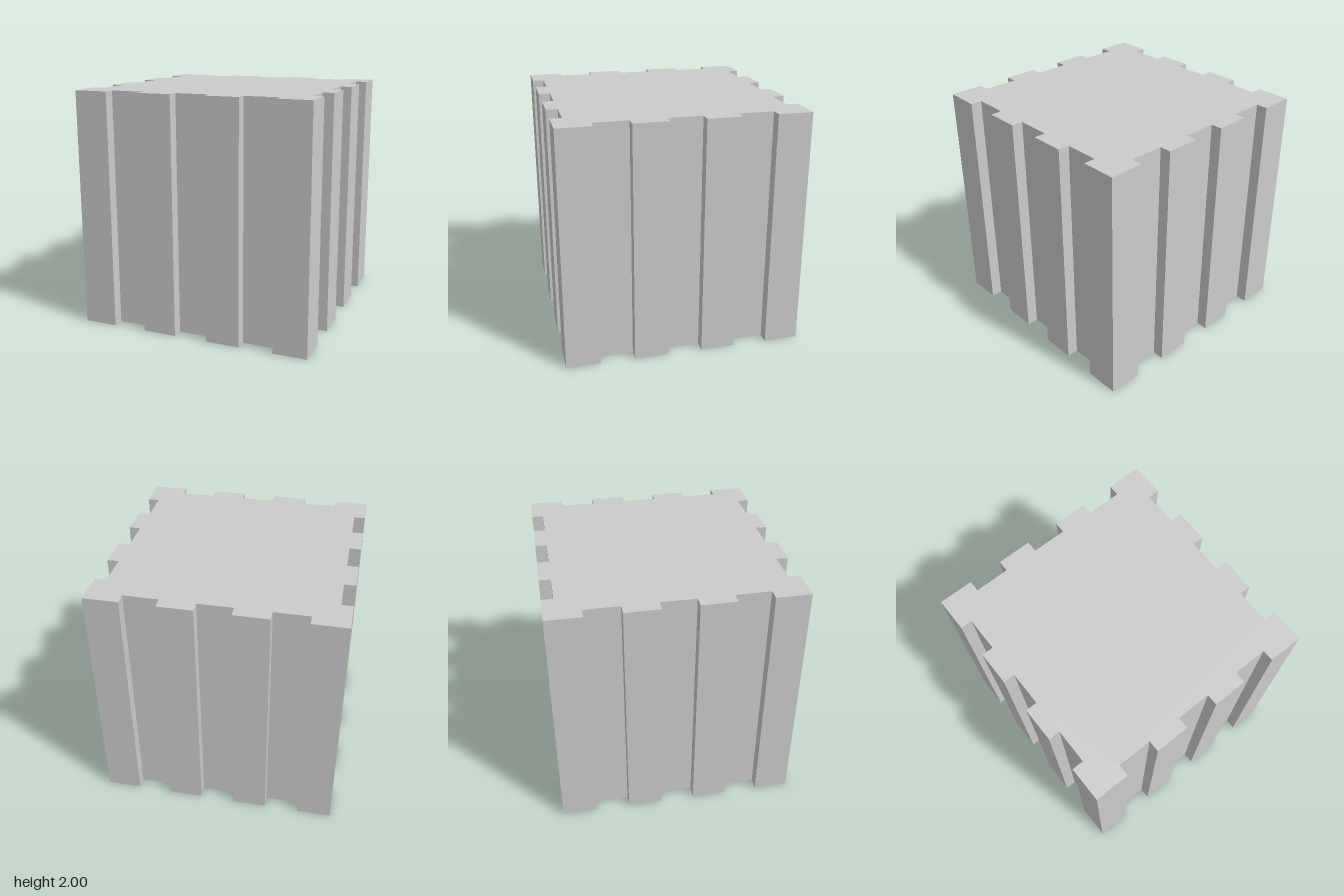
import * as THREE from 'three';

const HALF = 1;          // half the block's width
const STEPS = 7;         // ridges and grooves per side
const DEPTH = 0.095;     // groove depth

// Square outline with three rectangular grooves cut into each side
function groovedOutline() {
  const step = (2 * HALF) / STEPS;
  const side = [[-HALF, -HALF]];
  for (let i = 1; i < STEPS; i += 2) {
    const a = -HALF + i * step, b = a + step;
    side.push([a, -HALF], [a, -HALF + DEPTH], [b, -HALF + DEPTH], [b, -HALF]);
  }
  const points = [];
  for (let k = 0; k < 4; k++) {
    for (const [x, y] of side) {
      points.push(new THREE.Vector2(x, y).rotateAround(new THREE.Vector2(), (k * Math.PI) / 2));
    }
  }
  return new THREE.Shape(points);
}

export function createModel() {
  const group = new THREE.Group();
  group.name = 'groovedCube';

  // Outline extruded upwards from the ground
  const geometry = new THREE.ExtrudeGeometry(groovedOutline(), { depth: 2 * HALF, bevelEnabled: false });
  geometry.rotateX(-Math.PI / 2);

  const block = new THREE.Mesh(
    geometry,
    new THREE.MeshStandardMaterial({ color: 0xcccccc, flatShading: true })
  );
  block.name = 'groovedBlock';
  group.add(block);
  return group;
}
